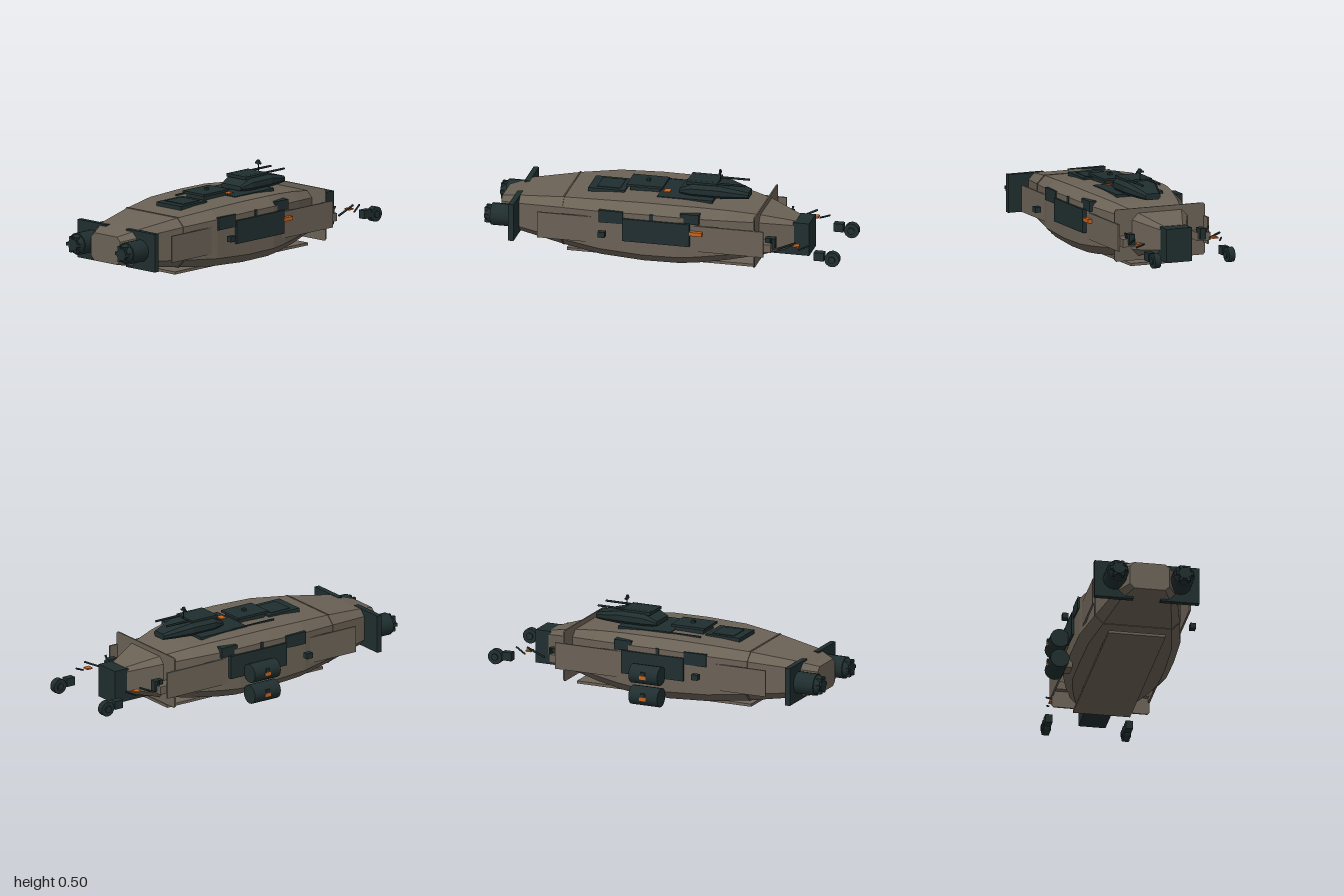
import * as THREE from 'three';

const ZC = 0.013; // the vessel's middle line

export function createModel() {
  const model = new THREE.Group();
  model.name = 'armouredVessel';
  const mat = (name, color) => {
    const m = new THREE.MeshStandardMaterial({ color });
    m.name = name;
    return m;
  };
  const taupe = mat('hullTaupe', 0x6b6256);
  const dark = mat('darkTeal', 0x202e2f);
  const orange = mat('signalOrange', 0xc8621c);

  const add = (name, geo, material, x = 0, y = 0, z = 0) => {
    const mesh = new THREE.Mesh(geo, material);
    mesh.name = name;
    mesh.position.set(x, y, z);
    model.add(mesh);
    return mesh;
  };
  // box given by its limits
  const box = (name, material, x0, x1, y0, y1, z0, z1) =>
    add(name, new THREE.BoxGeometry(x1 - x0, y1 - y0, z1 - z0), material,
      (x0 + x1) / 2, (y0 + y1) / 2, (z0 + z1) / 2);
  // the same box on both sides, d measured from the middle line
  const pair = (name, material, x0, x1, y0, y1, d0, d1) => {
    box(name + 'Front', material, x0, x1, y0, y1, ZC + d0, ZC + d1);
    box(name + 'Back', material, x0, x1, y0, y1, ZC - d1, ZC - d0);
  };
  const rod = (name, material, a, b, r) => {
    const p = new THREE.Vector3(...a), q = new THREE.Vector3(...b);
    const mesh = add(name, new THREE.CylinderGeometry(r, r, p.distanceTo(q), 6), material);
    mesh.position.copy(p).add(q).multiplyScalar(0.5);
    mesh.quaternion.setFromUnitVectors(new THREE.Vector3(0, 1, 0), q.sub(p).normalize());
  };
  // chamfered sections [x, halfWidth, bottom, top, chamfer] joined along x
  const loft = (sections) => {
    const rings = sections.map(([x, w, b, t, c]) => [
      [-w + c, b], [w - c, b], [w, b + c], [w, t - c],
      [w - c, t], [-w + c, t], [-w, t - c], [-w, b + c],
    ].map(([u, y]) => [x, y, ZC - u]));
    const pos = [];
    const tri = (...pts) => pts.forEach((p) => pos.push(...p));
    for (let i = 0; i < rings.length - 1; i++) {
      const a = rings[i], b = rings[i + 1];
      for (let k = 0; k < 8; k++) {
        const n = (k + 1) % 8;
        tri(a[k], a[n], b[k]);
        tri(a[n], b[n], b[k]);
      }
    }
    const first = rings[0], last = rings[rings.length - 1];
    for (let k = 1; k < 7; k++) {
      tri(last[0], last[k], last[k + 1]);
      tri(first[0], first[k + 1], first[k]);
    }
    const geo = new THREE.BufferGeometry();
    geo.setAttribute('position', new THREE.Float32BufferAttribute(pos, 3));
    geo.computeVertexNormals();
    return geo;
  };

  // hull
  add('hull', loft([
    [-0.93, 0.11, 0.115, 0.27, 0.025],
    [-0.81, 0.175, 0.095, 0.302, 0.035],
    [-0.56, 0.235, 0.06, 0.335, 0.045],
    [-0.34, 0.28, 0.037, 0.355, 0.05],
    [-0.1, 0.287, 0.025, 0.362, 0.05],
    [0.1, 0.285, 0.027, 0.361, 0.05],
    [0.2, 0.268, 0.033, 0.355, 0.05],
    [0.36, 0.225, 0.05, 0.338, 0.045],
    [0.53, 0.165, 0.075, 0.31, 0.035],
    [0.71, 0.075, 0.112, 0.262, 0.02],
  ]), taupe);
  add('hullSeam', loft([
    [-0.564, 0.237, 0.058, 0.338, 0.045],
    [-0.556, 0.239, 0.057, 0.339, 0.045],
  ]), taupe);
  add('bowFrame', loft([
    [0.522, 0.27, 0.05, 0.338, 0.01],
    [0.53, 0.27, 0.05, 0.338, 0.01],
  ]), taupe);
  box('keelPlate', taupe, -0.55, 0.5, 0.013, 0.028, -0.145, 0.172);
  pair('sidePlate', taupe, -0.69, 0.58, 0.117, 0.265, 0.262, 0.272);

  // bow block and chin
  box('bowBlock', dark, 0.7, 0.79, 0.125, 0.26, -0.06, 0.09);
  box('bowChin', dark, 0.55, 0.79, 0.073, 0.127, -0.06, 0.09);

  // side armour panels and sensor boxes
  pair('sidePanel', dark, -0.205, 0.17, 0.15, 0.28, 0.27, 0.297);
  pair('rearPanel', dark, -0.34, -0.205, 0.245, 0.315, 0.25, 0.289);
  pair('forePanel', dark, 0.115, 0.22, 0.275, 0.332, 0.23, 0.279);
  pair('sideClip', dark, -0.055, -0.035, 0.28, 0.315, 0.265, 0.29);
  pair('sensorBox', dark, -0.327, -0.287, 0.188, 0.219, 0.338, 0.37);
  box('sideMarker', orange, 0.17, 0.24, 0.215, 0.236, 0.27, 0.309);

  // stern engines
  for (const s of [1, -1]) {
    const z = ZC + s * 0.183, side = s > 0 ? 'Front' : 'Back';
    box('enginePlate' + side, dark, -0.847, -0.817, 0.09, 0.302,
      ZC + s * 0.183 - 0.108, ZC + s * 0.183 + 0.108);
    const parts = [[0.062, 0.062, 0.125, -0.9], [0.056, 0.04, 0.03, -0.975], [0.034, 0.034, 0.02, -0.99]];
    parts.forEach(([r0, r1, len, x], i) => {
      const geo = new THREE.CylinderGeometry(r1, r0, len, 12).rotateZ(Math.PI / 2);
      add(['engineBody', 'engineCone', 'engineNozzle'][i] + side, geo, dark, x, 0.197, z);
    });
    for (let k = 0; k < 6; k++) {
      const a = k * Math.PI / 3;
      box('nozzleLug' + side, dark, -0.998, -0.965, 0.188 + 0.04 * Math.sin(a), 0.206 + 0.04 * Math.sin(a),
        z + 0.04 * Math.cos(a) - 0.009, z + 0.04 * Math.cos(a) + 0.009);
    }
  }

  // twin tanks on the back side
  for (const y of [0.176, 0.055]) {
    add('tank', new THREE.CylinderGeometry(0.053, 0.053, 0.173, 16).rotateZ(Math.PI / 2), dark, -0.008, y, -0.328);
    box('tankMount', taupe, -0.05, 0.04, y - 0.03, y + 0.03, -0.29, -0.25);
    box('tankValve', dark, -0.02, 0.005, y + 0.005, y + 0.025, -0.385, -0.37);
    box('tankMarker', orange, -0.025, 0.012, y - 0.016, y + 0.004, -0.383, -0.375);
  }

  // deck plates and hatches
  box('turretBase', dark, -0.05, 0.26, 0.35, 0.366, -0.13, 0.147);
  box('rearHatch', dark, -0.445, -0.24, 0.345, 0.368, -0.068, 0.117);
  box('rearHatchLid', dark, -0.4, -0.27, 0.366, 0.371, -0.045, 0.09);
  box('midHatchBase', dark, -0.22, -0.05, 0.35, 0.388, -0.055, 0.075);
  box('midHatch', dark, -0.235, -0.032, 0.384, 0.397, -0.07, 0.09);
  box('hatchKnob', dark, -0.14, -0.12, 0.397, 0.41, 0, 0.02);
  box('deckRail', dark, -0.235, 0.05, 0.355, 0.368, -0.125, -0.118);
  box('deckMarker', orange, -0.03, 0.005, 0.36, 0.371, 0.035, 0.082);

  // turret with roof plate and mast
  add('turret', loft([
    [0.06, 0.075, 0.37, 0.395, 0.008],
    [0.13, 0.097, 0.36, 0.43, 0.02],
    [0.28, 0.097, 0.36, 0.432, 0.02],
    [0.38, 0.065, 0.357, 0.408, 0.015],
    [0.44, 0.045, 0.358, 0.392, 0.01],
  ]), dark);
  box('turretRoof', dark, 0.1, 0.27, 0.425, 0.442, -0.06, 0.086);
  for (const z of [-0.035, 0.065]) rod('turretRail', dark, [0.1, 0.437, z], [0.425, 0.437, z], 0.006);
  rod('mast', dark, [0.275, 0.435, 0.015], [0.275, 0.485, 0.015], 0.003);
  add('mastDish', new THREE.CylinderGeometry(0.014, 0.014, 0.008, 12).rotateZ(Math.PI / 2), dark, 0.272, 0.489, 0.015);
  box('mastBar', dark, 0.268, 0.278, 0.48, 0.488, -0.007, 0.036);

  // bow pods, manipulator rods and forward lamps
  pair('bowPod', taupe, 0.49, 0.62, 0.145, 0.19, 0.187, 0.262);
  pair('podClamp', dark, 0.58, 0.635, 0.155, 0.216, 0.195, 0.23);
  pair('armMarker', orange, 0.737, 0.771, 0.182, 0.19, 0.207, 0.243);
  pair('lampBox', dark, 0.857, 0.912, 0.115, 0.162, 0.203, 0.243);
  for (const s of [1, -1]) {
    const z = (d) => ZC + s * d, side = s > 0 ? 'Front' : 'Back';
    rod('lowerArm' + side, dark, [0.655, 0.165, z(0.242)], [0.755, 0.212, z(0.256)], 0.006);
    rod('upperArm' + side, dark, [0.77, 0.17, z(0.25)], [0.832, 0.198, z(0.23)], 0.005);
    rod('armLink' + side, dark, [0.61, 0.16, z(0.22)], [0.62, 0.225, z(0.25)], 0.006);
    add('lamp' + side, new THREE.CylinderGeometry(0.042, 0.042, 0.036, 14).rotateX(Math.PI / 2), dark, 0.957, 0.127, z(0.222));
    add('lampHub' + side, new THREE.CylinderGeometry(0.02, 0.02, 0.052, 10).rotateX(Math.PI / 2), dark, 0.957, 0.127, z(0.222));
  }
  return model;
}
